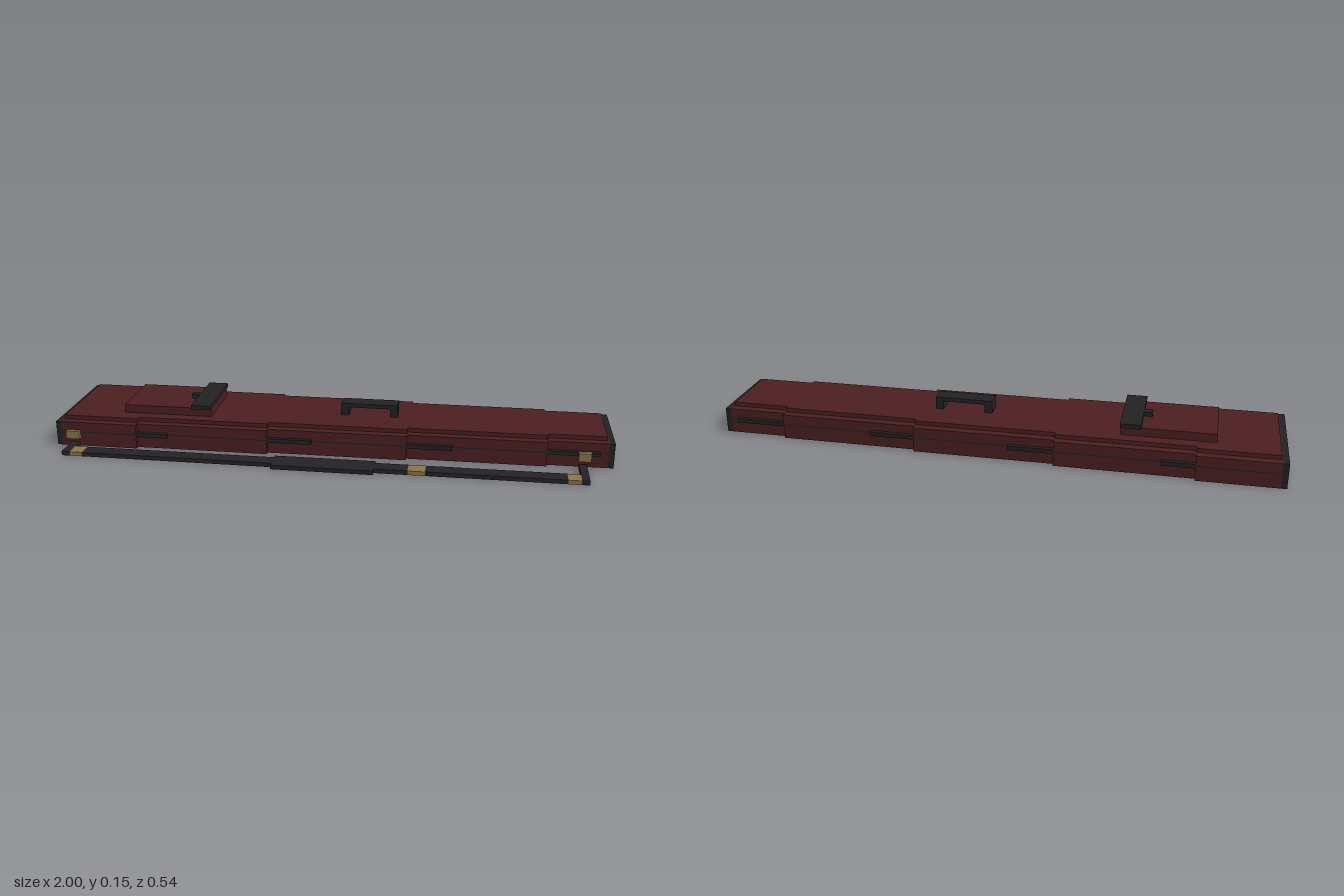
import * as THREE from 'three';

const mat = (name, color) => {
  const m = new THREE.MeshStandardMaterial({ color });
  m.name = name;
  return m;
};

export function createModel() {
  const red = mat('oxblood leather', 0x4b1f21);
  const dark = mat('black trim', 0x222222);
  const strapDark = mat('strap webbing', 0x242226);
  const brass = mat('brass', 0x8b7548);

  const model = new THREE.Group();
  model.name = 'longCase';

  // Box given by its minimum and maximum on each axis
  const box = (name, material, [x0, x1], [y0, y1], [z0, z1], parent = model) => {
    const mesh = new THREE.Mesh(new THREE.BoxGeometry(x1 - x0, y1 - y0, z1 - z0), material);
    mesh.position.set((x0 + x1) / 2, (y0 + y1) / 2, (z0 + z1) / 2);
    mesh.name = name;
    parent.add(mesh);
    return mesh;
  };

  // The case tapers in steps: x of each step and half width of each section
  const midZ = -0.06;
  const steps = [-0.7, -0.22, 0.28, 0.77];
  const halfWidths = [0.21, 0.195, 0.18, 0.165, 0.15];

  // Slab with the stepped outline, grown or shrunk sideways by "grow"
  const steppedSlab = (name, material, x0, x1, y0, y1, grow) => {
    const xs = [x0, ...steps, x1];
    const side = [];
    halfWidths.forEach((w, i) => side.push([xs[i], w + grow], [xs[i + 1], w + grow]));
    const outline = [...side.map(([x, w]) => new THREE.Vector2(x, -w)),
      ...side.reverse().map(([x, w]) => new THREE.Vector2(x, w))];
    const geo = new THREE.ExtrudeGeometry(new THREE.Shape(outline), { depth: y1 - y0, bevelEnabled: false });
    geo.rotateX(-Math.PI / 2);
    const mesh = new THREE.Mesh(geo, material);
    mesh.position.set(0, y0, midZ);
    mesh.name = name;
    model.add(mesh);
  };

  // Shell halves, seam and lid
  steppedSlab('lowerShell', red, -0.98, 0.98, 0, 0.05, 0);
  steppedSlab('seam', dark, -0.98, 0.98, 0.05, 0.055, 0);
  steppedSlab('upperShell', red, -0.98, 0.98, 0.055, 0.09, 0);
  steppedSlab('lid', red, -0.975, 0.975, 0.09, 0.105, -0.03);

  // End caps
  box('wideEndCap', dark, [-1, -0.98], [0, 0.09], [midZ - 0.21, midZ + 0.21]);
  box('narrowEndCap', dark, [0.98, 1], [0, 0.09], [midZ - 0.15, midZ + 0.15]);

  // Trim strips behind every step, on both sides
  const stripEnds = [-0.585, -0.06, 0.44, 0.95];
  steps.forEach((x, i) => {
    for (const s of [-1, 1]) {
      const a = midZ + s * halfWidths[i + 1], b = midZ + s * halfWidths[i];
      box('trimStrip', dark, [x, stripEnds[i]], [0.045, 0.06], [Math.min(a, b), Math.max(a, b)]);
    }
  });

  // Raised pocket with its closing flap
  box('pocket', red, [-0.765, -0.44], [0.105, 0.135], [-0.18, 0.06]);
  box('pocketFlap', dark, [-0.51, -0.438], [0.135, 0.15], [-0.193, 0.075]);
  box('flapTab', dark, [-0.54, -0.51], [0.135, 0.15], [-0.075, -0.045]);

  // Carrying handle
  const handle = new THREE.Group();
  handle.name = 'handle';
  model.add(handle);
  const handleZ = [-0.088, -0.028];
  box('handleBar', dark, [0.028, 0.236], [0.135, 0.15], handleZ, handle);
  for (const x of [0.028, 0.208]) box('handlePost', dark, [x, x + 0.028], [0.105, 0.135], handleZ, handle);

  // Brass strap mounts on the front side
  box('wideEndMount', brass, [-0.96, -0.91], [0.03, 0.06], [0.15, 0.165]);
  box('narrowEndMount', brass, [0.877, 0.92], [0.03, 0.06], [0.09, 0.12]);

  // Carrying strap lying in front, cut where the brass buckles sit
  const strap = new THREE.Group();
  strap.name = 'strap';
  model.add(strap);
  const strapY = [0, 0.015], strapZ = [0.195, 0.25];
  const cuts = [-0.915, -0.87, -0.18, 0.178, 0.295, 0.355, 0.835, 0.88];
  const pieces = ['buckle', 'strapBand', 'shoulderPad', 'strapBand', 'buckle', 'strapBand', 'buckle'];
  pieces.forEach((name, i) => box(name, name === 'buckle' ? brass : strapDark, [cuts[i], cuts[i + 1]], strapY,
    name === 'shoulderPad' ? [0.18, 0.268] : strapZ, strap));
  box('strapEnd', strapDark, [-0.945, -0.915], strapY, [0.15, 0.25], strap);
  box('strapEnd', strapDark, [0.88, 0.907], strapY, [0.105, 0.25], strap);

  return model;
}
